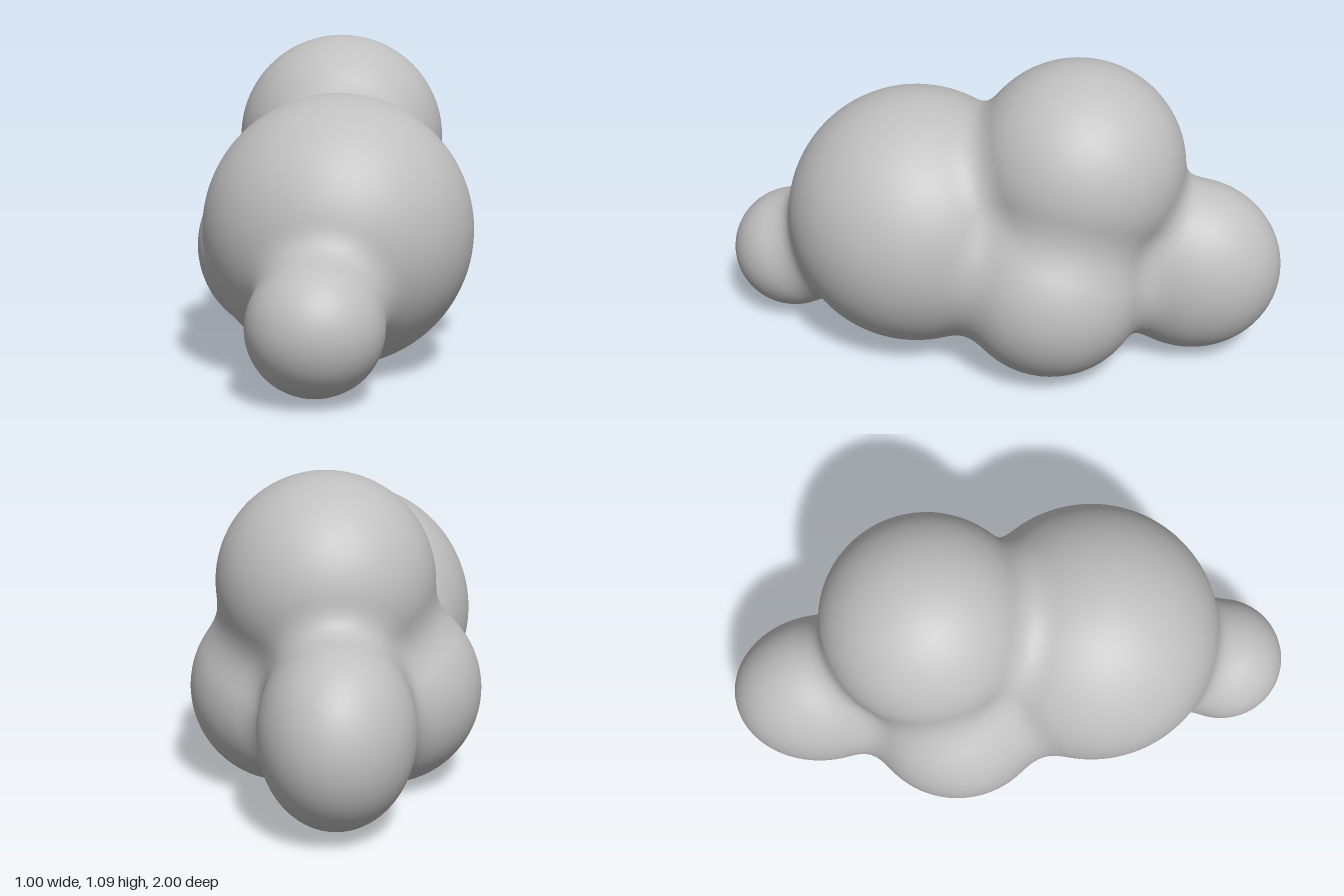
import * as THREE from 'three';

// Puffs that melt together: centre and radii of each ellipsoid
const PUFFS = [
  { c: [0, 0.472, 0.295], r: [0.456, 0.457, 0.456] },       // large front puff
  { c: [0.028, 0.727, -0.282], r: [0.368, 0.368, 0.37] },   // top puff
  { c: [0.17, 0.333, -0.21], r: [0.33, 0.33, 0.33] },       // left puff
  { c: [-0.17, 0.333, -0.21], r: [0.33, 0.33, 0.33] },      // right puff
  { c: [-0.036, 0.335, -0.68], r: [0.257, 0.316, 0.32] },   // rear puff
  { c: [-0.085, 0.239, 0.778], r: [0.221, 0.219, 0.222] },  // small nose puff
];
const BLEND = 0.11;

// Approximate signed distance to an ellipsoid
function ellipsoid(p, { c, r }) {
  const q = p.map((v, i) => (v - c[i]) / r[i]);
  const k0 = Math.hypot(...q);
  const k1 = Math.hypot(...q.map((v, i) => v / r[i]));
  return k1 < 1e-6 ? -Math.min(...r) : (k0 * (k0 - 1)) / k1;
}

// Smooth union of all puffs
function field(p) {
  let d = ellipsoid(p, PUFFS[0]);
  for (let i = 1; i < PUFFS.length; i++) {
    const e = ellipsoid(p, PUFFS[i]);
    const h = Math.max(BLEND - Math.abs(d - e), 0) / BLEND;
    d = Math.min(d, e) - h * h * BLEND * 0.25;
  }
  return d;
}

function gradient(p) {
  const e = 0.001;
  return [0, 1, 2].map((a) => {
    const hi = [...p], lo = [...p];
    hi[a] += e;
    lo[a] -= e;
    return (field(hi) - field(lo)) / (2 * e);
  });
}

// Surface mesh over a regular grid, each vertex pulled onto the blended skin
function blendedSkin(step) {
  const min = [-0.58, -0.08, -1.08];
  const n = [1.16, 1.26, 2.16].map((s) => Math.ceil(s / step) + 1);
  const stride = [1, n[0], n[0] * n[1]];
  const total = n[0] * n[1] * n[2];
  const node = (id) => [id % n[0], Math.floor(id / n[0]) % n[1], Math.floor(id / stride[2])];
  const values = new Float32Array(total);
  for (let id = 0; id < total; id++) {
    values[id] = field(node(id).map((g, a) => min[a] + g * step));
  }

  const positions = [], normals = [], indices = [];
  const vertexOf = new Map();
  const vertex = (cell) => {
    if (vertexOf.has(cell)) return vertexOf.get(cell);
    const p = node(cell).map((g, a) => min[a] + (g + 0.5) * step);
    for (let k = 0; k < 4; k++) {
      const g = gradient(p), d = field(p);
      const len2 = Math.max(g[0] ** 2 + g[1] ** 2 + g[2] ** 2, 0.1);
      for (let a = 0; a < 3; a++) p[a] -= (d * g[a]) / len2;
    }
    const normal = new THREE.Vector3(...gradient(p)).normalize();
    const index = positions.length / 3;
    positions.push(...p);
    normals.push(normal.x, normal.y, normal.z);
    vertexOf.set(cell, index);
    return index;
  };

  // One quad around every grid edge that crosses the skin
  for (let id = 0; id < total; id++) {
    const g = node(id);
    for (let a = 0; a < 3; a++) {
      if (g[a] + 1 >= n[a]) continue;
      const inside = values[id] < 0;
      if (inside === values[id + stride[a]] < 0) continue;
      const b = stride[(a + 1) % 3], c = stride[(a + 2) % 3];
      const q = [id - b - c, id - c, id, id - b].map(vertex);
      if (!inside) q.reverse();
      indices.push(q[0], q[1], q[2], q[0], q[2], q[3]);
    }
  }

  const geometry = new THREE.BufferGeometry();
  geometry.setAttribute('position', new THREE.Float32BufferAttribute(positions, 3));
  geometry.setAttribute('normal', new THREE.Float32BufferAttribute(normals, 3));
  geometry.setIndex(indices);
  return geometry;
}

export function createModel() {
  const group = new THREE.Group();
  group.name = 'cloud';
  const softGrey = new THREE.MeshStandardMaterial({ color: 0xc0c0c0 });
  softGrey.name = 'softGrey';
  const body = new THREE.Mesh(blendedSkin(0.022), softGrey);
  body.name = 'cloudPuffs';
  group.add(body);
  return group;
}
